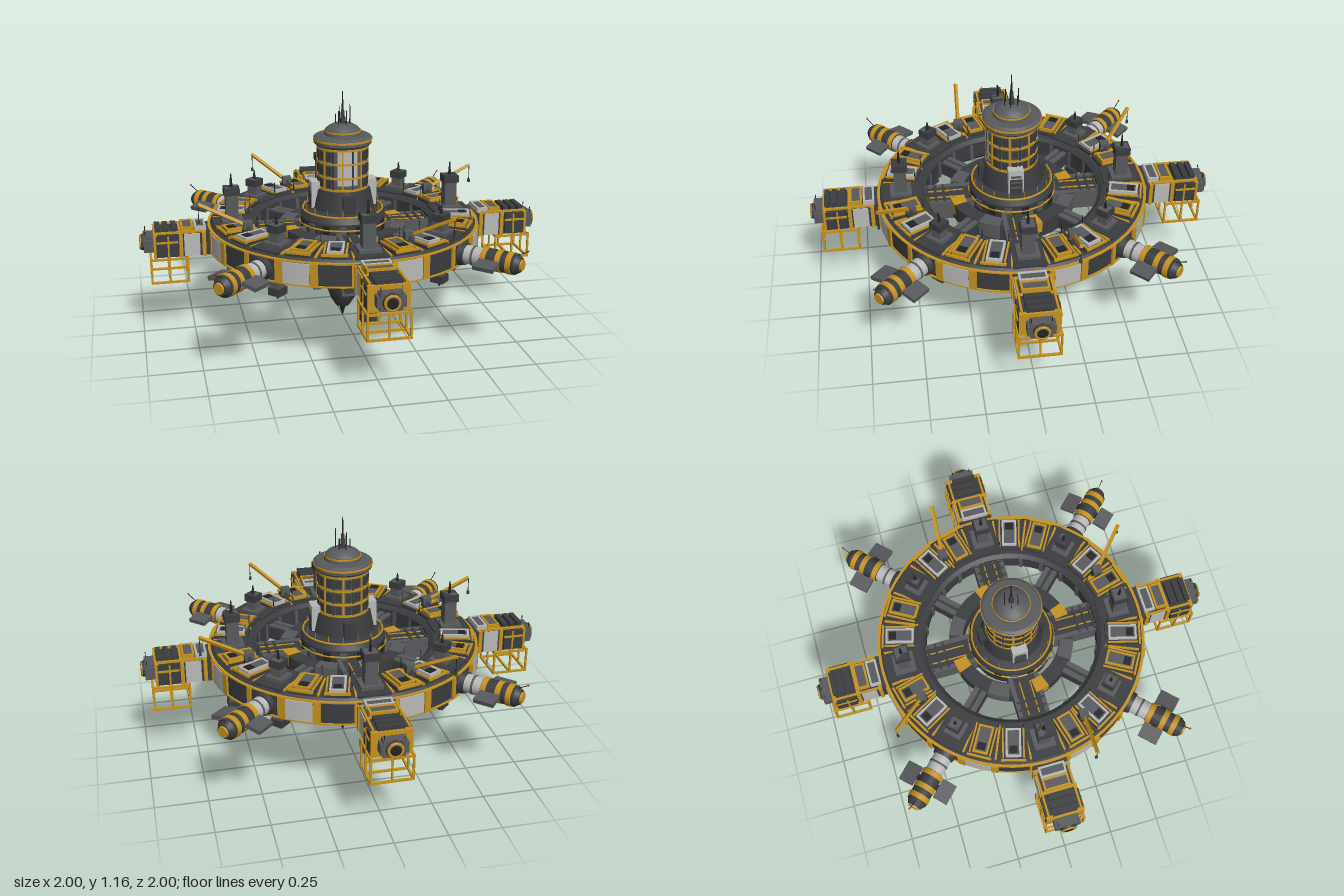
import * as THREE from 'three';
import { toCreasedNormals } from 'three/addons/utils/BufferGeometryUtils.js';

const DARK = 0x3b3c3f, MID = 0x58595c, YELLOW = 0xc4921f, WHITE = 0xb9b9b7, BLACK = 0x222326, RED = 0xb03030;
const mats = {};
const mat = (c) => (mats[c] ??= new THREE.MeshStandardMaterial({ color: c, side: THREE.DoubleSide }));
const rad = THREE.MathUtils.degToRad;

function add(parent, name, geo, color, x = 0, y = 0, z = 0) {
  const m = new THREE.Mesh(geo, mat(color));
  m.name = name;
  m.position.set(x, y, z);
  parent.add(m);
  return m;
}
const box = (p, name, c, w, h, d, x, y, z) => add(p, name, new THREE.BoxGeometry(w, h, d), c, x, y, z);
const post = (p, name, c, rt, rb, y0, y1, x, z, n = 12) =>
  add(p, name, new THREE.CylinderGeometry(rt, rb, y1 - y0, n), c, x, (y0 + y1) / 2, z);
// Cylinder lying along local z, from z0 (radius r0) to z1 (radius r1)
const barrel = (p, name, c, r0, r1, z0, z1, y, n = 24) =>
  add(p, name, new THREE.CylinderGeometry(r1, r0, z1 - z0, n).rotateX(Math.PI / 2), c, 0, y, (z0 + z1) / 2);
// Revolved profile, over the whole turn or a sector centred on angle a (degrees from +z toward +x)
function lathe(p, name, c, pts, segs = 64, a = 180, span = 360) {
  const g = new THREE.LatheGeometry(pts.map(([r, y]) => new THREE.Vector2(r, y)), segs, rad(a - span / 2), rad(span));
  return add(p, name, toCreasedNormals(g, 0.5), c);
}
const band = (p, name, c, r0, r1, y0, y1, segs, a, span) =>
  lathe(p, name, c, [[r0, y0], [r1, y0], [r1, y1], [r0, y1], [r0, y0]], segs, a, span);
// Group whose local +z points outward at the given angle
function radial(p, name, deg) {
  const g = new THREE.Group();
  g.name = name;
  g.rotation.y = rad(deg);
  p.add(g);
  return g;
}
// Thin square beam between two points
function beam(p, name, c, a, b, t) {
  const A = new THREE.Vector3(...a), B = new THREE.Vector3(...b);
  const m = box(p, name, c, t, t, A.distanceTo(B), 0, 0, 0);
  m.position.copy(A).add(B).multiplyScalar(0.5);
  m.quaternion.setFromUnitVectors(new THREE.Vector3(0, 0, 1), B.sub(A).normalize());
  return m;
}
// Rectangular raised border with a filled centre, lying flat
function hatch(p, name, frame, fill, w, d, y, z) {
  const t = 0.01;
  box(p, name + 'Plate', fill, w - t, 0.022, d - t, 0, y, z);
  for (const s of [-1, 1]) {
    box(p, name + 'Frame', frame, t, 0.03, d, s * (w - t) / 2, y, z);
    box(p, name + 'Frame', frame, w, 0.03, t, 0, y, z + s * (d - t) / 2);
  }
}

function buildRing(root) {
  lathe(root, 'habitatRing', DARK, [[0.64, 0.4], [0.665, 0.42], [0.665, 0.515], [0.645, 0.535], [0.45, 0.535],
    [0.43, 0.52], [0.43, 0.43], [0.46, 0.4], [0.64, 0.4]], 96);
  for (const y of [0.412, 0.522]) band(root, 'ringTrim', YELLOW, 0.64, 0.669, y - 0.003, y + 0.003, 96);
  for (let k = 0; k < 8; k++) {
    const a = k * 45;
    band(root, 'whiteWallPanel', WHITE, 0.66, 0.67, 0.418, 0.516, 6, a + 15, 11);
    for (const s of [7.8, 22.2, 37.5]) {
      const g = radial(root, 'ringDivider', a + s);
      box(g, 'wallStripe', YELLOW, s > 30 ? 0.022 : 0.036, 0.108, 0.02, 0, 0.467, 0.664);
      box(g, 'deckStripe', YELLOW, 0.01, 0.014, 0.17, 0, 0.537, 0.555);
      box(g, 'keelStripe', YELLOW, 0.018, 0.012, 0.13, 0, 0.4, 0.56);
      box(g, 'innerRib', MID, 0.018, 0.09, 0.015, 0, 0.47, 0.432);
    }
    // Deck hatches and keel plates
    for (const s of [15, 30]) {
      const g = radial(root, 'deckModule', a + s);
      box(g, 'moduleBase', DARK, 0.115, 0.02, 0.17, 0, 0.54, 0.555);
      hatch(g, 'deckHatch', s === 15 ? YELLOW : WHITE, MID, 0.075, 0.14, 0.552, 0.555);
      for (const x of [-0.05, 0.05]) box(g, 'hatchRail', YELLOW, 0.008, 0.012, 0.15, x, 0.553, 0.555);
      box(g, 'outerRail', YELLOW, 0.12, 0.012, 0.01, 0, 0.553, 0.64);
      box(g, 'hatchVent', BLACK, 0.04, 0.02, 0.035, 0, 0.558, 0.59);
      box(g, 'keelPlate', MID, 0.09, 0.014, 0.12, 0, 0.398, 0.56);
      post(g, 'deckAerial', BLACK, 0.002, 0.002, 0.55, 0.61, 0.05, 0.48, 5);
    }
  }
}

// Vertical mast blocks that pass through the ring
function buildColumn(root, deg, w, y0, y1, tip) {
  const g = radial(root, 'mastColumn', deg), z = 0.55;
  box(g, 'deckPlate', DARK, 0.15, 0.015, 0.19, 0, 0.537, z);
  box(g, 'columnFoot', MID, w * 1.5, 0.03, w * 1.5, 0, 0.545, z);
  box(g, 'columnFoot', MID, w * 1.5, 0.03, w * 1.5, 0, 0.395, z);
  box(g, 'columnShaft', MID, w * 0.86, y1 - y0, w * 0.86, 0, (y0 + y1) / 2, z);
  for (const y of [y0 + 0.018, y1 - 0.018]) box(g, 'columnCap', DARK, w * 1.08, 0.036, w * 1.08, 0, y, z);
  post(g, 'columnAerial', BLACK, 0.003, 0.008, y1, y1 + tip, 0, z, 8);
  post(g, 'columnSpike', BLACK, 0.01, 0.003, y0 - tip * 0.5, y0, 0, z, 8);
}

// Cardinal docking arm with an open cargo cage below
function buildArm(root, deg) {
  const g = radial(root, 'dockingArm', deg), y = 0.465;
  box(g, 'armBody', DARK, 0.17, 0.115, 0.28, 0, y, 0.79);
  box(g, 'armCladding', WHITE, 0.178, 0.112, 0.075, 0, y, 0.752);
  box(g, 'armShell', DARK, 0.19, 0.105, 0.1, 0, y, 0.872);
  for (const z of [0.695, 0.805, 0.925]) box(g, 'armBand', YELLOW, 0.186, 0.12, 0.018, 0, y, z);
  for (const s of [-1, 1]) {
    box(g, 'sideRail', YELLOW, 0.008, 0.01, 0.1, s * 0.096, 0.485, 0.87);
    box(g, 'sideStripe', YELLOW, 0.008, 0.1, 0.008, s * 0.096, y, 0.865);
    box(g, 'topRail', YELLOW, 0.01, 0.012, 0.22, s * 0.08, 0.527, 0.81);
    box(g, 'dockLatch', MID, 0.016, 0.05, 0.05, s * 0.055, y, 0.955);
    post(g, 'dockAerial', BLACK, 0.002, 0.002, 0.49, 0.53, s * 0.045, 0.97, 5);
  }
  hatch(g, 'whiteHatch', WHITE, MID, 0.13, 0.055, 0.532, 0.71);
  hatch(g, 'yellowHatch', YELLOW, MID, 0.13, 0.06, 0.532, 0.772);
  for (const z of [0.835, 0.875, 0.912]) box(g, 'roofVent', DARK, 0.12, 0.025, 0.025, 0, 0.532, z);
  // Docking port
  box(g, 'portBlock', MID, 0.1, 0.08, 0.05, 0, y, 0.955);
  barrel(g, 'portCollar', DARK, 0.042, 0.036, 0.975, 0.997, y);
  barrel(g, 'portDoor', BLACK, 0.022, 0.022, 0.98, 0.999, y);
  add(g, 'portRing', new THREE.TorusGeometry(0.031, 0.007, 8, 28), YELLOW, 0, y, 0.992);
  // Cargo cage
  const Z = [0.775, 0.862, 0.948];
  for (const x of [-0.095, 0.095]) {
    for (const z of Z) beam(g, 'cagePost', YELLOW, [x, 0.285, z], [x, 0.41, z], 0.009);
    for (const cy of [0.285, 0.4]) beam(g, 'cageRail', YELLOW, [x, cy, Z[0]], [x, cy, Z[2]], 0.01);
  }
  for (const z of Z) beam(g, 'cageCrossbar', YELLOW, [-0.1, 0.285, z], [0.1, 0.285, z], 0.01);
  for (const z of [Z[0], Z[2]]) {
    beam(g, 'cageCrossbar', YELLOW, [-0.1, 0.4, z], [0.1, 0.4, z], 0.01);
    beam(g, 'cageMidPost', YELLOW, [0, 0.285, z], [0, 0.4, z], 0.008);
  }
  // Spoke to the hub
  box(g, 'spoke', DARK, 0.13, 0.085, 0.27, 0, 0.46, 0.32);
  for (const s of [-1, 1]) {
    box(g, 'spokeEdge', MID, 0.022, 0.1, 0.27, s * 0.066, 0.46, 0.32);
    box(g, 'spokeStripe', YELLOW, 0.006, 0.01, 0.2, s * 0.026, 0.503, 0.34);
  }
  for (const z of [0.34, 0.38, 0.42]) box(g, 'spokeRib', DARK, 0.14, 0.012, 0.012, 0, 0.505, z);
}

// Diagonal engine pod with flat panels
function buildPod(root, deg) {
  const g = radial(root, 'enginePod', deg), y = 0.465;
  barrel(g, 'podSocket', DARK, 0.06, 0.052, 0.65, 0.69, y);
  barrel(g, 'podNeck', WHITE, 0.045, 0.045, 0.68, 0.78, y);
  barrel(g, 'neckBand', MID, 0.047, 0.047, 0.725, 0.735, y);
  barrel(g, 'podBody', DARK, 0.05, 0.05, 0.775, 0.94, y);
  for (const z of [0.79, 0.862, 0.915]) barrel(g, 'podBand', YELLOW, 0.053, 0.053, z - 0.013, z + 0.013, y);
  barrel(g, 'podCap', DARK, 0.048, 0.034, 0.94, 0.963, y);
  barrel(g, 'podNozzle', YELLOW, 0.027, 0.025, 0.963, 0.972, y);
  for (const s of [-1, 1]) {
    box(g, 'panelStrut', BLACK, 0.05, 0.015, 0.03, s * 0.06, y, 0.832);
    box(g, 'sidePanel', MID, 0.075, 0.02, 0.1, s * 0.095, y, 0.832).rotation.z = -s * 0.2;
  }
  beam(g, 'beaconMast', BLACK, [0, 0.5, 0.93], [0, 0.535, 0.99], 0.003);
  add(g, 'beacon', new THREE.SphereGeometry(0.005, 8, 6), RED, 0, 0.537, 0.992);
  box(g, 'spoke', DARK, 0.07, 0.065, 0.15, 0, 0.46, 0.37);
  for (const x of [-0.02, 0.02]) box(g, 'spokeDuct', MID, 0.025, 0.015, 0.13, x, 0.495, 0.37);
}

function buildHub(root) {
  band(root, 'innerRing', DARK, 0.24, 0.31, 0.42, 0.505, 64);
  for (let k = 0; k < 4; k++) {
    band(root, 'innerRingPatch', YELLOW, 0.245, 0.313, 0.45, 0.512, 6, 14 + 90 * k, 13);
    band(root, 'innerRingPlate', MID, 0.245, 0.313, 0.43, 0.509, 8, 62 + 90 * k, 20);
  }
  lathe(root, 'hubCore', DARK, [[0, 0.055], [0.035, 0.06], [0.06, 0.1], [0.078, 0.15], [0.085, 0.2], [0.085, 0.26],
    [0.095, 0.27], [0.095, 0.335], [0.15, 0.36], [0.17, 0.375], [0.2, 0.41], [0.21, 0.43], [0.21, 0.55],
    [0.19, 0.585], [0.155, 0.59], [0.135, 0.69], [0.12, 0.69]], 48);
  post(root, 'keelSpike', BLACK, 0.02, 0.001, 0, 0.065, 0, 0);
  for (const [r, y] of [[0.197, 0.582], [0.213, 0.52], [0.098, 0.28], [0.172, 0.378]])
    add(root, 'hubTrim', new THREE.TorusGeometry(r, 0.005, 6, 64).rotateX(Math.PI / 2), YELLOW, 0, y, 0);
  band(root, 'lowerDrum', WHITE, 0.08, 0.1, 0.29, 0.33, 40);
  // Lower tanks and equipment boxes
  for (let k = 0; k < 4; k++) {
    const g = radial(root, 'lowerCluster', k * 90);
    post(g, 'tank', WHITE, 0.027, 0.027, 0.2, 0.35, 0, 0.1, 20);
    for (const y of [0.21, 0.275]) post(g, 'tankBand', YELLOW, 0.029, 0.029, y, y + 0.008, 0, 0.1, 20);
    box(g, 'equipmentBox', MID, 0.07, 0.115, 0.04, 0, 0.22, 0.135);
    box(g, 'equipmentDoor', DARK, 0.045, 0.08, 0.008, 0, 0.22, 0.156);
    box(g, 'hubButtress', DARK, 0.06, 0.09, 0.05, 0, 0.63, 0.14);
  }
  for (const deg of [90, 270]) {
    const g = radial(root, 'towerCabinet', deg);
    box(g, 'cabinet', WHITE, 0.075, 0.13, 0.045, 0, 0.66, 0.14);
    for (const y of [0.63, 0.66, 0.69]) box(g, 'cabinetSlot', MID, 0.05, 0.012, 0.005, 0, y, 0.163);
  }
  for (let k = 0; k < 16; k++) {
    const g = radial(root, 'collarBay', k * 22.5 + 11);
    box(g, 'collarBlock', k % 2 ? MID : BLACK, 0.035, 0.05, 0.02, 0, 0.515, 0.205);
    post(g, 'collarPost', YELLOW, 0.002, 0.002, 0.57, 0.615, 0, 0.19, 5);
  }
}

function buildTower(root) {
  lathe(root, 'towerDrum', MID, [[0.122, 0.685], [0.122, 0.9], [0.13, 0.9], [0.142, 0.912], [0.142, 0.94], [0.13, 0.948],
    [0.09, 0.95], [0.086, 0.975], [0.07, 0.99], [0.045, 1.003], [0, 1.005]], 48);
  for (const y of [0.695, 0.755, 0.825, 0.893]) band(root, 'drumBand', YELLOW, 0.115, 0.128, y - 0.005, y + 0.005, 48);
  band(root, 'capBand', YELLOW, 0.13, 0.145, 0.926, 0.937, 48);
  band(root, 'domeBand', YELLOW, 0.08, 0.09, 0.964, 0.972, 40);
  band(root, 'drumPlate', WHITE, 0.115, 0.1265, 0.72, 0.89, 12, 0, 46);
  for (let k = 0; k < 16; k++) {
    const g = radial(root, 'drumBay', k * 22.5 + 11.25);
    box(g, 'drumRib', k % 2 ? YELLOW : DARK, 0.008, 0.2, 0.008, 0, 0.795, 0.123);
    const w = radial(root, 'drumWindows', k * 22.5);
    if (k > 1 && k < 15) for (const y of [0.725, 0.79, 0.86]) box(w, 'window', DARK, 0.03, 0.042, 0.006, 0, y, 0.1225);
  }
  // Masts on the dome
  post(root, 'mainMast', DARK, 0.008, 0.014, 1.0, 1.07, 0, 0);
  post(root, 'mastTip', BLACK, 0.002, 0.005, 1.07, 1.16, 0, 0, 8);
  [1.1, 1.06, 1.08, 1.05, 1.07, 1.04].forEach((top, i) => {
    const g = radial(root, 'sideAerial', i * 60 + 75);
    post(g, 'aerial', BLACK, 0.002, 0.003, 0.98, top, 0, 0.035, 6);
  });
}

// Slewing crane with a hanging hook
function buildCrane(root, [bx, bz], [tx, tz]) {
  const g = new THREE.Group();
  g.name = 'crane';
  root.add(g);
  post(g, 'cranePedestal', DARK, 0.022, 0.03, 0.53, 0.6, bx, bz, 16);
  box(g, 'craneCab', MID, 0.045, 0.035, 0.045, bx, 0.59, bz);
  beam(g, 'craneBoom', YELLOW, [bx, 0.585, bz], [tx, 0.7, tz], 0.015);
  beam(g, 'craneCable', BLACK, [tx, 0.7, tz], [tx, 0.62, tz], 0.003);
  box(g, 'craneHook', DARK, 0.012, 0.016, 0.012, tx, 0.615, tz);
}

export function createModel() {
  const root = new THREE.Group();
  root.name = 'spaceStation';
  buildRing(root);
  buildHub(root);
  buildTower(root);
  for (let k = 0; k < 4; k++) {
    buildArm(root, k * 90);
    buildPod(root, k * 90 + 45);
    buildColumn(root, k * 90, 0.07, 0.21, 0.715, 0.065);
    buildColumn(root, k * 90 + 45, 0.06, 0.3, 0.64, 0.045);
  }
  for (const s of [-1, 1]) {
    buildCrane(root, [s * 0.5, s * -0.22], [s * 0.725, s * -0.21]);
    buildCrane(root, [s * 0.2, s * 0.51], [s * 0.365, s * 0.665]);
  }
  return root;
}
